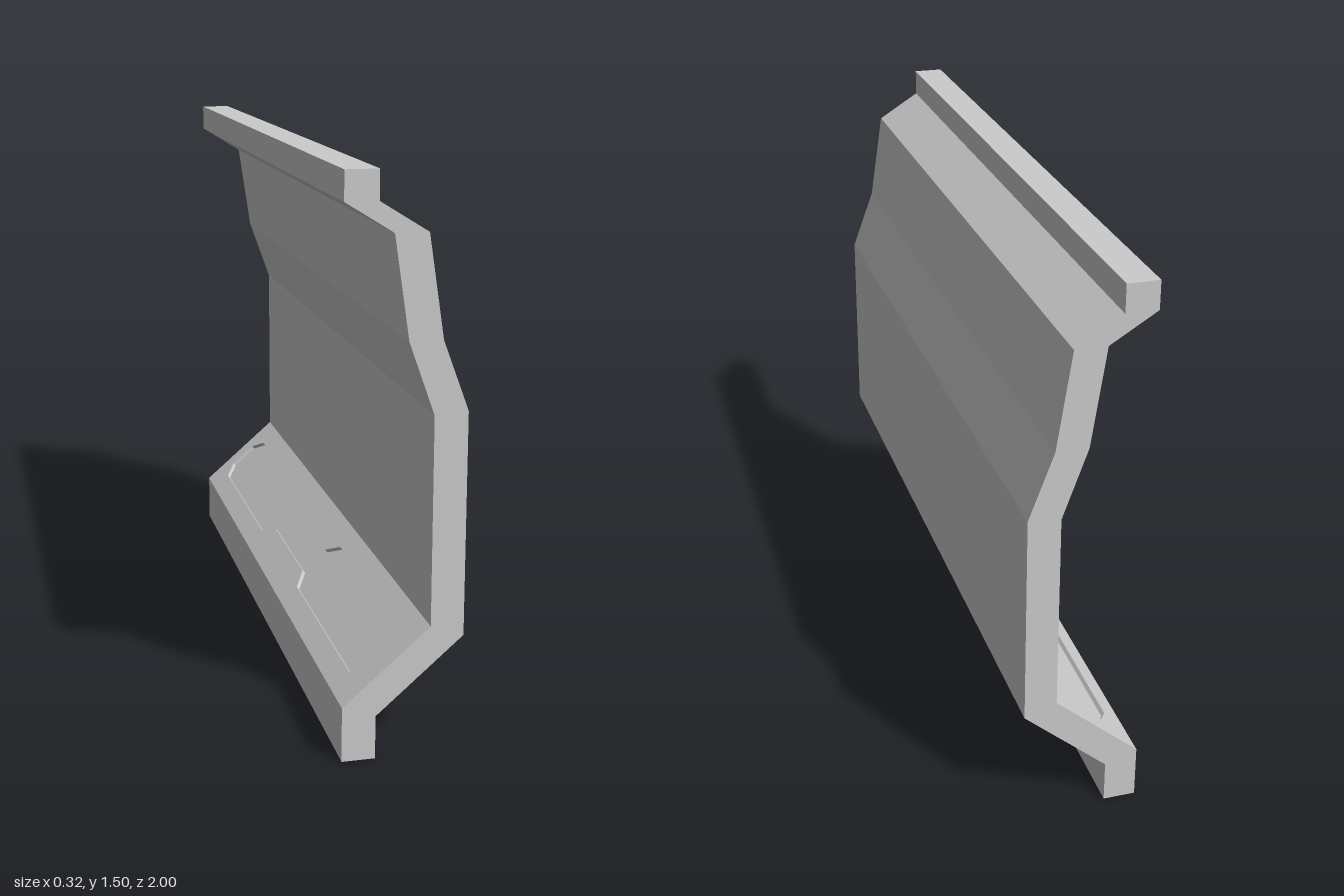
import * as THREE from 'three';

const LENGTH = 2;
const DEPTH = 0.012; // depth of the recessed panel

const toShape = (pts) => new THREE.Shape(pts.map(([x, y]) => new THREE.Vector2(x, y)));

export function createModel() {
  const group = new THREE.Group();
  group.name = 'wallSection';
  const material = new THREE.MeshStandardMaterial({ color: 0xcccccc, flatShading: true });

  // Inner lower slope: direction along it and outward normal
  const low = new THREE.Vector3(-0.16, 0.147, 0);
  const high = new THREE.Vector3(0.07, 0.346, 0);
  const up = high.clone().sub(low);
  const width = up.length();
  up.normalize();
  const normal = new THREE.Vector3(-up.y, up.x, 0);
  const sunk = (p) => [p.x - normal.x * DEPTH, p.y - normal.y * DEPTH];

  // Wall: bent profile run along z, with a shallow seat for the slope facing
  const profile = toShape([
    [-0.072, 0], [-0.072, 0.116], [0.157, 0.315], [0.157, 0.902], [0.09, 1.083],
    [0.05, 1.347], [-0.074, 1.424], [-0.074, 1.5], [-0.16, 1.5], [-0.16, 1.424],
    [-0.036, 1.347], [0.003, 1.083], [0.07, 0.895], [high.x, high.y],
    sunk(high), sunk(low), [low.x, low.y], [-0.16, 0],
  ]);
  const wallGeometry = new THREE.ExtrudeGeometry(profile, { depth: LENGTH, bevelEnabled: false });
  wallGeometry.translate(0, 0, -LENGTH / 2);
  const wall = new THREE.Mesh(wallGeometry, material);
  wall.name = 'wall';
  group.add(wall);

  // Slope facing: thin plate whose cut-out forms the recessed, waisted panel
  const facing = toShape([[-1, 0], [1, 0], [1, width], [-1, width]]);
  const quarter = [[0.2, 0.15], [0.26, 0.285], [0.88, 0.285], [0.935, 0.15]]; // z, offset from mid-slope
  const mirrored = quarter.map(([x, y]) => [-x, y]).reverse();
  const upper = [...mirrored, ...quarter];
  const outline = [...upper, ...upper.map(([x, y]) => [-x, -y])]
    .map(([x, y]) => new THREE.Vector2(x, (0.5 + y) * width));
  facing.holes.push(new THREE.Path(outline));
  const slope = new THREE.Mesh(
    new THREE.ExtrudeGeometry(facing, { depth: DEPTH, bevelEnabled: false }), material);
  slope.name = 'recessedSlopeFacing';
  slope.quaternion.setFromRotationMatrix(
    new THREE.Matrix4().makeBasis(new THREE.Vector3(0, 0, 1), up, normal));
  slope.position.copy(low).addScaledVector(normal, -DEPTH);
  group.add(slope);

  return group;
}
